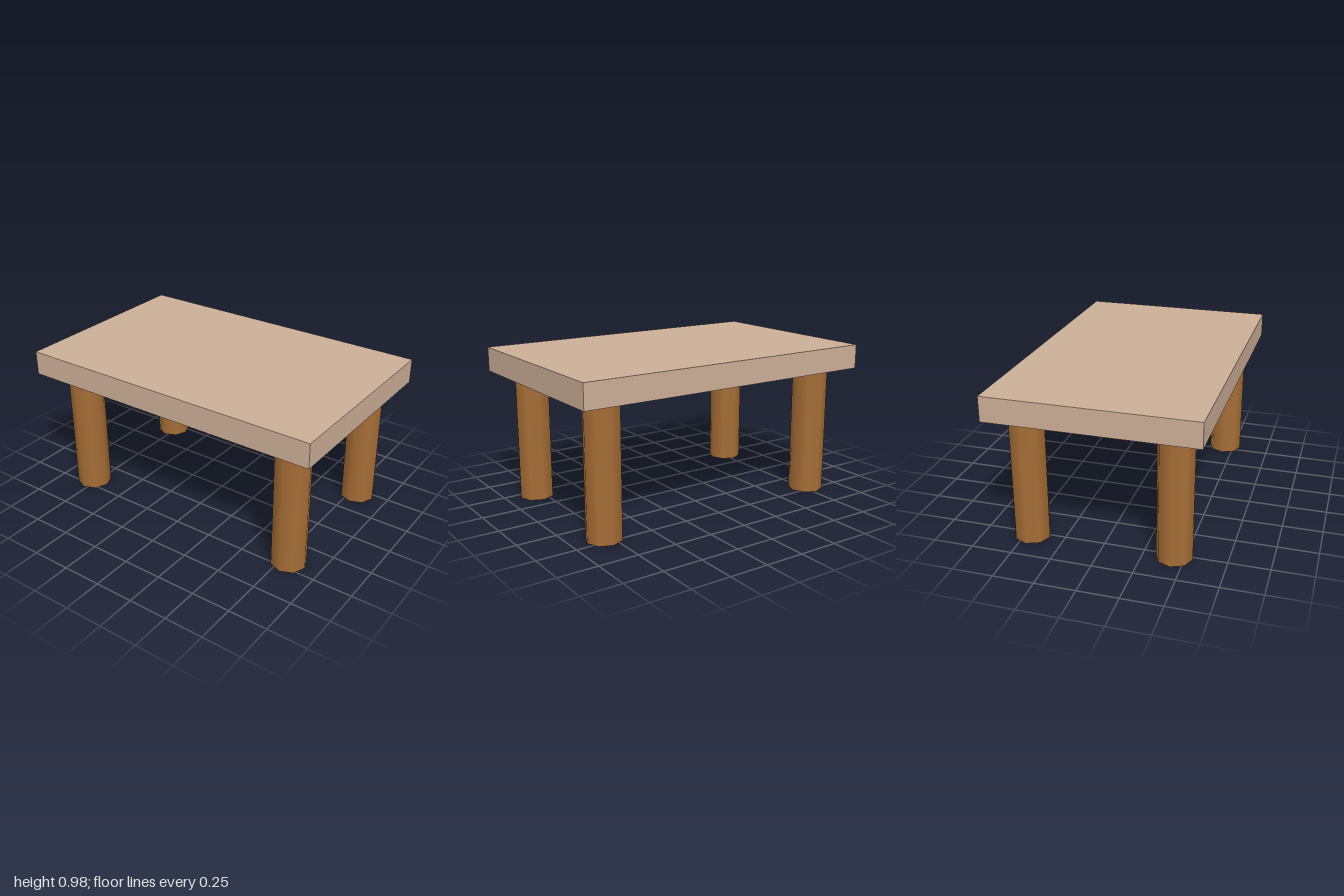
import * as THREE from 'three';

export function createModel() {
  const table = new THREE.Group();
  table.name = 'table';

  const paleWood = new THREE.MeshStandardMaterial({ color: 0xcbae97 });
  paleWood.name = 'pale wood';
  const brownWood = new THREE.MeshStandardMaterial({ color: 0xa56d36 });
  brownWood.name = 'brown wood';

  const legHeight = 0.826;
  const topThickness = 0.154;

  // Slab top
  const top = new THREE.Mesh(new THREE.BoxGeometry(2, topThickness, 1.266), paleWood);
  top.name = 'tableTop';
  top.position.y = legHeight + topThickness / 2;
  table.add(top);

  // Four eight-sided legs with smooth sides, set slightly off centre
  const legGeometry = new THREE.CylinderGeometry(0.111, 0.111, legHeight, 8);
  for (const [side, x] of [['Left', 0.797], ['Right', -0.772]]) {
    for (const [end, z] of [['front', 0.437], ['back', -0.453]]) {
      const leg = new THREE.Mesh(legGeometry, brownWood);
      leg.name = `${end}${side}Leg`;
      leg.position.set(x, legHeight / 2, z);
      table.add(leg);
    }
  }

  return table;
}
